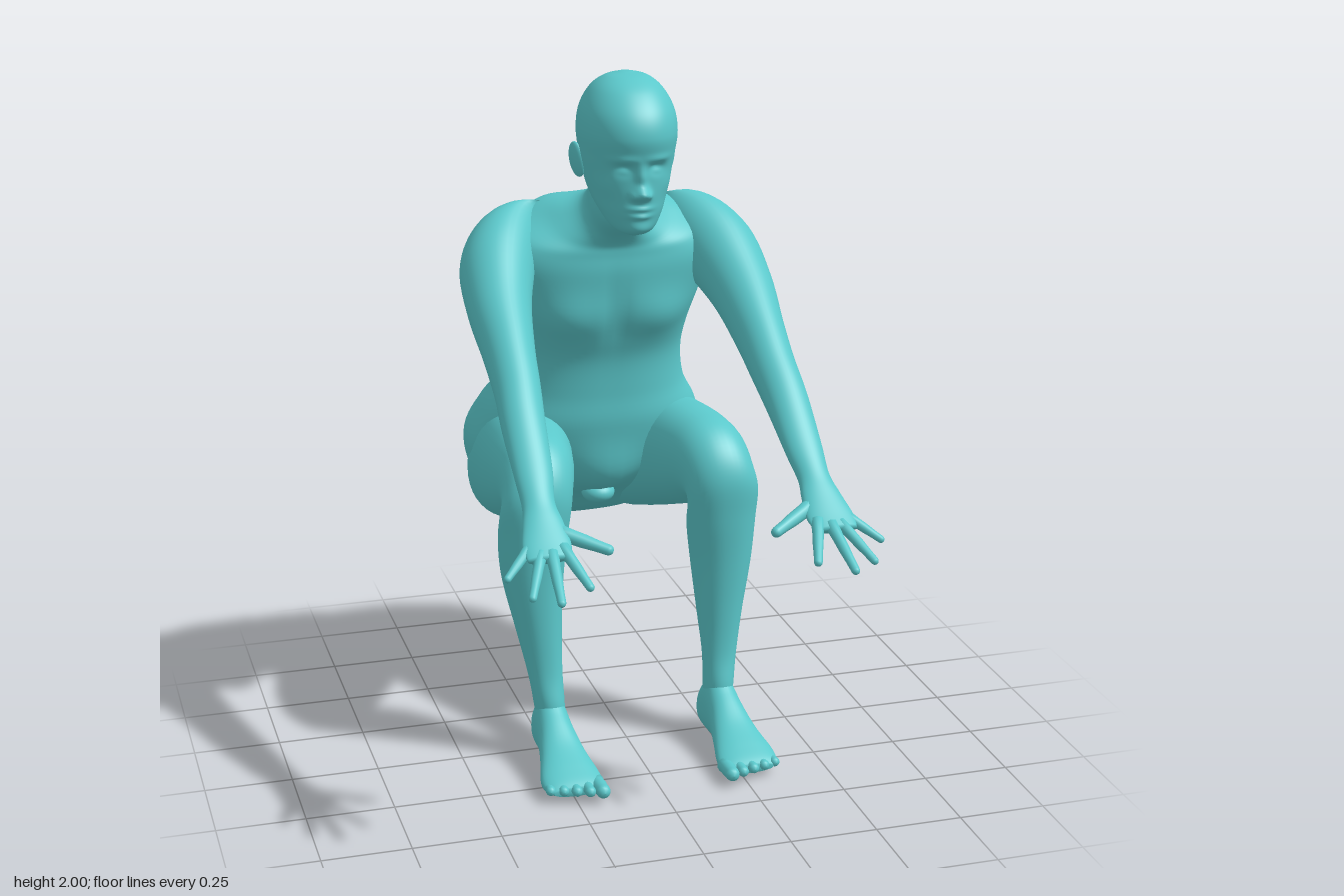
import * as THREE from 'three';

const skin = new THREE.MeshStandardMaterial({ color: 0x5bc8cb });
const V = (x, y, z) => new THREE.Vector3(x, y, z);

function add(parent, name, geometry) {
  const mesh = new THREE.Mesh(geometry, skin);
  mesh.name = name;
  parent.add(mesh);
  return mesh;
}

// Smooth closed skin through rings [x, halfWidth, frontY, frontZ, backY, backZ].
// side mirrors it, power squares the section.
function loft(rings, { side = 1, power = 2, steps = 6, around = 40 } = {}) {
  const front = new THREE.CatmullRomCurve3(rings.map(r => V(r[0], r[2], r[3])), false, 'catmullrom', 0.5);
  const back = new THREE.CatmullRomCurve3(rings.map(r => V(r[1], r[4], r[5])), false, 'catmullrom', 0.5);
  const rows = (rings.length - 1) * steps, pos = [], index = [], ends = [];
  const bow = v => Math.sign(v) * Math.abs(v) ** (2 / power);
  for (let i = 0; i <= rows; i++) {
    const f = front.getPoint(i / rows), b = back.getPoint(i / rows);
    const cy = (f.y + b.y) / 2, cz = (f.z + b.z) / 2;
    ends.push([f.x * side, cy, cz]);
    for (let j = 0; j < around; j++) {
      const u = j / around * Math.PI * 2, d = bow(Math.sin(u));
      pos.push((f.x + b.x * bow(Math.cos(u))) * side, cy + (f.y - b.y) / 2 * d, cz + (f.z - b.z) / 2 * d);
    }
  }
  // Winding follows the direction of travel along the rings
  const r = rings[0], q = rings[1];
  const ty = q[2] + q[4] - r[2] - r[4], tz = q[3] + q[5] - r[3] - r[5];
  const outward = ((r[2] - r[4]) * tz - (r[3] - r[5]) * ty) * side > 0;
  const tri = (a, b, c) => outward ? index.push(a, b, c) : index.push(a, c, b);
  const first = (rows + 1) * around;
  pos.push(...ends[0], ...ends[rows]);
  for (let j = 0; j < around; j++) {
    const k = (j + 1) % around;
    for (let i = 0; i < rows; i++) {
      const a = i * around + j, b = i * around + k;
      tri(a, b, b + around);
      tri(a, b + around, a + around);
    }
    tri(first, k, j);
    tri(first + 1, rows * around + j, rows * around + k);
  }
  const g = new THREE.BufferGeometry();
  g.setAttribute('position', new THREE.Float32BufferAttribute(pos, 3));
  g.setIndex(index);
  g.computeVertexNormals();
  return g;
}

// Soft symmetrical bulges or dents [x, y, z, reachX, reachY, reachZ, amount] along the normals
function swell(g, bumps) {
  const p = g.attributes.position, n = g.attributes.normal;
  for (let i = 0; i < p.count; i++) {
    const x = p.getX(i), y = p.getY(i), z = p.getZ(i);
    let d = 0;
    for (const [bx, by, bz, rx, ry, rz, amount] of bumps)
      d += amount * Math.exp(-(((Math.abs(x) - bx) / rx) ** 2) - ((y - by) / ry) ** 2 - ((z - bz) / rz) ** 2);
    p.setXYZ(i, x + n.getX(i) * d, y + n.getY(i) * d, z + n.getZ(i) * d);
  }
  g.computeVertexNormals();
  return g;
}

function blob(parent, name, center, radii, rot = [0, 0, 0]) {
  const mesh = add(parent, name, new THREE.SphereGeometry(1, 28, 20));
  mesh.position.set(...center);
  mesh.scale.set(...radii);
  mesh.rotation.set(...rot);
}

// Tapered finger or toe between two points
function digit(parent, name, a, b, r0, r1) {
  const length = a.distanceTo(b), profile = [new THREE.Vector2(0, -r0)];
  for (const [t, k] of [[0, 1], [0.3, 0.94], [0.55, 1], [0.8, 0.95]])
    profile.push(new THREE.Vector2(THREE.MathUtils.lerp(r0, r1, t) * k, t * (length - r1)));
  for (let i = 0; i <= 4; i++) {
    const u = i / 4 * Math.PI / 2;
    profile.push(new THREE.Vector2(i === 4 ? 0 : r1 * Math.cos(u), length - r1 + r1 * Math.sin(u)));
  }
  const mesh = add(parent, name, new THREE.LatheGeometry(profile, 14));
  mesh.position.copy(a);
  mesh.quaternion.setFromUnitVectors(V(0, 1, 0), b.clone().sub(a).normalize());
}

const TORSO = [
  [0, 0.17, 0.61, -0.44, 0.51, -0.59], [0, 0.27, 0.645, -0.38, 0.59, -0.71],
  [0, 0.335, 0.70, -0.30, 0.71, -0.793], [0, 0.358, 0.80, -0.215, 0.84, -0.775],
  [0, 0.325, 0.92, -0.17, 0.945, -0.69], [0, 0.275, 1.02, -0.165, 1.03, -0.615],
  [0, 0.262, 1.12, -0.155, 1.14, -0.595], [0, 0.275, 1.20, -0.13, 1.28, -0.565],
  [0, 0.30, 1.30, -0.10, 1.40, -0.505], [0, 0.315, 1.40, -0.085, 1.51, -0.42],
  [0, 0.27, 1.46, -0.085, 1.58, -0.335], [0, 0.165, 1.49, -0.08, 1.612, -0.27],
  [0, 0.092, 1.52, -0.055, 1.645, -0.20], [0, 0.082, 1.57, 0, 1.70, -0.16],
  [0, 0.08, 1.64, 0.02, 1.76, -0.14],
];
// Chest, breastbone, shoulder blades, rear shoulders, neck muscles, spine, belly
const TORSO_FORM = [
  [0.13, 1.27, -0.12, 0.1, 0.07, 0.09, 0.022], [0, 1.3, -0.1, 0.025, 0.1, 0.08, -0.008],
  [0.18, 1.46, -0.43, 0.09, 0.1, 0.1, 0.018], [0.28, 1.45, -0.33, 0.07, 0.1, 0.09, 0.03],
  [0.15, 1.58, -0.26, 0.08, 0.05, 0.08, 0.02], [0, 1.3, -0.55, 0.035, 0.25, 0.2, -0.014],
  [0, 0.77, -0.24, 0.1, 0.09, 0.1, 0.045],
];
const HEAD = [
  [0, 0.025, 1.562, 0.09, 1.57, 0.03], [0, 0.062, 1.577, 0.12, 1.60, -0.02],
  [0, 0.09, 1.62, 0.138, 1.65, -0.10], [0, 0.107, 1.67, 0.143, 1.69, -0.145],
  [0, 0.121, 1.73, 0.145, 1.74, -0.155], [0, 0.13, 1.78, 0.156, 1.79, -0.165],
  [0, 0.136, 1.84, 0.17, 1.85, -0.172], [0, 0.127, 1.90, 0.154, 1.91, -0.157],
  [0, 0.098, 1.955, 0.107, 1.96, -0.117], [0, 0.06, 1.987, 0.05, 1.988, -0.067],
  [0, 0.015, 1.999, 0, 1.999, -0.03],
];
// Nose bridge, tip, nostrils, sockets, eyes, brows, lips, chin, cheeks
const FACE = [
  [0, 1.735, 0.145, 0.014, 0.03, 0.05, 0.014], [0, 1.69, 0.145, 0.018, 0.019, 0.05, 0.034],
  [0.02, 1.683, 0.14, 0.01, 0.011, 0.05, 0.012], [0.047, 1.756, 0.135, 0.024, 0.016, 0.05, -0.016],
  [0.048, 1.75, 0.125, 0.016, 0.009, 0.05, 0.007], [0.045, 1.785, 0.14, 0.04, 0.011, 0.05, 0.005],
  [0, 1.646, 0.14, 0.03, 0.008, 0.05, 0.008], [0, 1.625, 0.14, 0.026, 0.008, 0.05, 0.009],
  [0, 1.59, 0.12, 0.03, 0.016, 0.04, 0.01], [0.075, 1.71, 0.09, 0.03, 0.03, 0.05, 0.004],
];
const ARM = [
  [0.16, 0.06, 1.59, -0.26, 1.48, -0.39], [0.26, 0.1, 1.6, -0.235, 1.39, -0.37],
  [0.322, 0.112, 1.545, -0.135, 1.33, -0.25], [0.355, 0.092, 1.435, 0, 1.26, -0.09],
  [0.363, 0.073, 1.33, 0.13, 1.18, 0.06], [0.367, 0.065, 1.25, 0.225, 1.115, 0.18],
  [0.375, 0.061, 1.175, 0.31, 1.05, 0.29], [0.38, 0.053, 1.06, 0.43, 0.975, 0.42],
  [0.385, 0.045, 0.985, 0.51, 0.93, 0.48], [0.387, 0.055, 0.945, 0.56, 0.90, 0.535],
  [0.392, 0.066, 0.90, 0.62, 0.865, 0.60], [0.397, 0.056, 0.872, 0.66, 0.85, 0.648],
];
const LEG = [
  [0.17, 0.06, 0.75, -0.67, 0.63, -0.69], [0.19, 0.145, 0.86, -0.58, 0.53, -0.59],
  [0.213, 0.147, 0.945, -0.42, 0.56, -0.45], [0.235, 0.138, 0.97, -0.22, 0.62, -0.28],
  [0.25, 0.125, 0.973, -0.10, 0.67, -0.15], [0.26, 0.112, 0.96, 0, 0.71, -0.06],
  [0.27, 0.104, 0.905, 0.073, 0.715, -0.025], [0.28, 0.104, 0.82, 0.11, 0.695, -0.035],
  [0.283, 0.1, 0.70, 0.106, 0.64, -0.08], [0.287, 0.088, 0.56, 0.096, 0.54, -0.097],
  [0.28, 0.066, 0.40, 0.09, 0.39, -0.06], [0.273, 0.05, 0.27, 0.092, 0.26, -0.01],
  [0.267, 0.043, 0.17, 0.11, 0.15, -0.006], [0.267, 0.036, 0.09, 0.10, 0.07, 0.01],
];
const FOOT = [
  [0.265, 0.025, 0.08, -0.035, 0.025, -0.03], [0.265, 0.044, 0.15, -0.005, 0.005, -0.01],
  [0.266, 0.049, 0.20, 0.06, 0.004, 0.06], [0.268, 0.054, 0.165, 0.13, 0.014, 0.13],
  [0.27, 0.068, 0.115, 0.21, 0.016, 0.21], [0.272, 0.086, 0.08, 0.29, 0.006, 0.29],
  [0.27, 0.084, 0.06, 0.335, 0.012, 0.335], [0.266, 0.07, 0.045, 0.36, 0.02, 0.36],
];
// Fingers: knuckle, tip, radius
const FINGERS = [
  ['thumb', [0.36, 0.905, 0.56], [0.22, 0.86, 0.638], 0.024],
  ['indexFinger', [0.353, 0.88, 0.62], [0.308, 0.805, 0.75], 0.0185],
  ['middleFinger', [0.385, 0.872, 0.635], [0.40, 0.79, 0.797], 0.0185],
  ['ringFinger', [0.413, 0.872, 0.63], [0.47, 0.797, 0.76], 0.0175],
  ['littleFinger', [0.437, 0.882, 0.605], [0.52, 0.825, 0.68], 0.0165],
];

export function createModel() {
  const body = new THREE.Group();
  body.name = 'squattingFigure';
  add(body, 'torso', swell(loft(TORSO, { power: 2.4, around: 80 }), TORSO_FORM));
  blob(body, 'groin', [0, 0.675, -0.31], [0.05, 0.034, 0.05]);

  const head = new THREE.Group();
  head.name = 'head';
  body.add(head);
  add(head, 'skull', swell(loft(HEAD, { power: 2.1, steps: 12, around: 120 }), FACE));

  for (const s of [1, -1]) {
    const word = s > 0 ? 'left' : 'right';
    const p = a => V(a[0] * s, a[1], a[2]);
    blob(head, word + 'Ear', [s * 0.134, 1.758, -0.03], [0.013, 0.05, 0.029], [-0.15, s * -0.45, s * -0.15]);

    // Arm and hand
    const arm = new THREE.Group();
    arm.name = word + 'Arm';
    body.add(arm);
    add(arm, word + 'ArmSkin', loft(ARM, { side: s }));
    for (const [name, a, b, r] of FINGERS) digit(arm, name, p(a), p(b), r, r * 0.62);

    // Leg, foot and toes; the right shin leans a little further inward
    const lean = y => s < 0 ? -0.024 * Math.max(0, 1 - y / 0.7) : 0;
    const leaned = rings => rings.map(([x, w, fy, ...rest]) => [x + lean(fy), w, fy, ...rest]);
    const leg = new THREE.Group();
    leg.name = word + 'Leg';
    body.add(leg);
    add(leg, word + 'LegSkin', loft(leaned(LEG), { side: s, power: 2.15 }));
    add(leg, word + 'Foot', loft(leaned(FOOT), { side: s, power: 2.2 }));
    for (let i = 0; i < 5; i++) {
      const x = 0.205 + i * 0.033 + lean(0.04), r = i ? 0.019 - i * 0.0006 : 0.024;
      digit(leg, 'toe', p([x, 0.033, 0.315 - i * 0.009]), p([x + (i - 1) * 0.003, 0.04, 0.408 - i * 0.012]), r, r * 0.85);
    }
  }
  return body;
}
